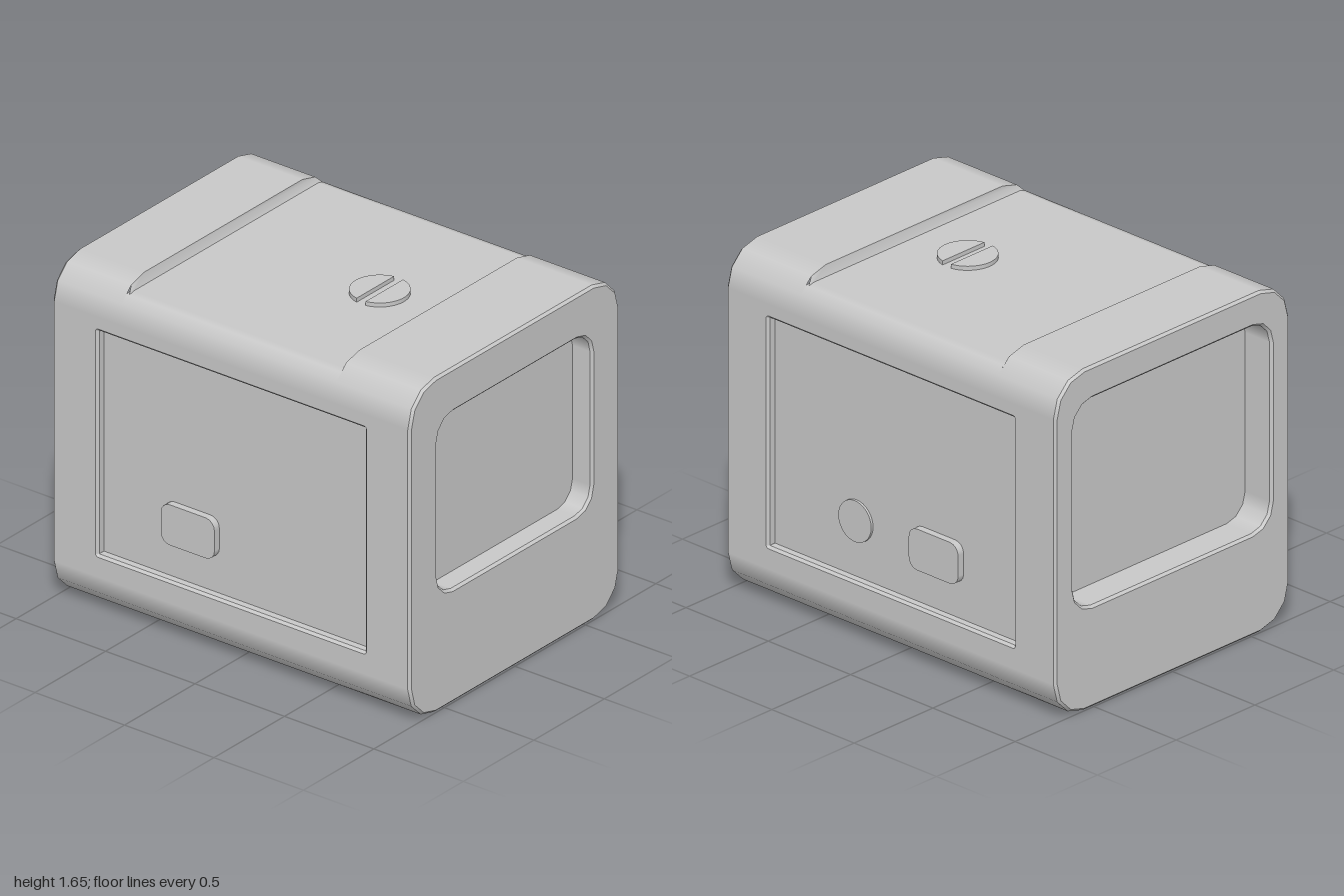
import * as THREE from 'three';

const W = 1.49, H = 1.655, R = 0.185, CY = H / 2, BEVEL = 0.012, DECK = 1.605;
const casing = new THREE.MeshStandardMaterial({ color: 0xc8c8c8 });
casing.name = 'casingGrey';

// Rounded rectangle, counter-clockwise, with an outward normal at each point
function ring(w, h, r, cx, cy, seg = 3) {
  const pts = [];
  for (let q = 0; q < 4; q++) {
    const sx = q === 0 || q === 3 ? 1 : -1, sy = q < 2 ? 1 : -1;
    for (let i = 0; i <= seg; i++) {
      const a = (q + i / seg) * Math.PI / 2, nx = Math.cos(a), ny = Math.sin(a);
      pts.push({ x: cx + sx * (w / 2 - r) + r * nx, y: cy + sy * (h / 2 - r) + r * ny, nx, ny });
    }
  }
  return pts;
}

// Wall between two outlines at depths zA < zB
function loft(A, zA, B, zB, { inward = false, closed = true } = {}) {
  const pos = [], nor = [], idx = [], n = A.length, s = inward ? -1 : 1;
  A.forEach((a, i) => {
    const b = B[i], dr = (b.x - a.x) * a.nx + (b.y - a.y) * a.ny;
    const v = new THREE.Vector3(a.nx * (zB - zA), a.ny * (zB - zA), -dr).normalize().multiplyScalar(s);
    pos.push(a.x, a.y, zA, b.x, b.y, zB);
    nor.push(v.x, v.y, v.z, v.x, v.y, v.z);
  });
  for (let i = 0; i < (closed ? n : n - 1); i++) {
    const a = 2 * i, b = 2 * ((i + 1) % n);
    if (inward) idx.push(a, b + 1, b, a, a + 1, b + 1);
    else idx.push(a, b, b + 1, a, b + 1, a + 1);
  }
  const g = new THREE.BufferGeometry();
  g.setAttribute('position', new THREE.Float32BufferAttribute(pos, 3));
  g.setAttribute('normal', new THREE.Float32BufferAttribute(nor, 3));
  g.setIndex(idx);
  return g;
}

// Flat face, optionally with a hole
function face(outline, z, hole) {
  const vec = pts => pts.map(p => new THREE.Vector2(p.x, p.y));
  const s = new THREE.Shape(vec(outline));
  if (hole) s.holes.push(new THREE.Path(vec(hole)));
  return new THREE.ShapeGeometry(s).translate(0, 0, z);
}

function add(parent, name, geometry) {
  const m = new THREE.Mesh(geometry, casing);
  m.name = name;
  parent.add(m);
  return m;
}

// Bevelled pocket sunk from the plane z; returns its rim outline
function pocket(parent, name, w, h, r, cy, z, depth, bevel) {
  const rim = ring(w, h, r, 0, cy);
  const inner = ring(w - 2 * bevel, h - 2 * bevel, Math.max(r - bevel, 0.003), 0, cy);
  add(parent, name + 'Bevel', loft(inner, z - bevel, rim, z, { inward: true }));
  add(parent, name + 'Wall', loft(inner, z - depth, inner, z - bevel, { inward: true }));
  add(parent, name + 'Floor', face(inner, z - depth));
  return rim;
}

// Raised button
function button(parent, name, w, h, r, x, y, z, height, seg) {
  const o = ring(w, h, r, x, y, seg);
  add(parent, name + 'Edge', loft(o, z, o, z + height));
  add(parent, name + 'Face', face(o, z + height));
}

// End of the casing with its window pocket
function end(name, w, h, r, cy, depth) {
  const g = new THREE.Group();
  g.name = name;
  const outer = ring(W, H, R, 0, CY);
  const inset = ring(W - 2 * BEVEL, H - 2 * BEVEL, R - BEVEL, 0, CY);
  add(g, name + 'Bevel', loft(outer, 1 - BEVEL, inset, 1));
  const rim = pocket(g, name + 'Window', w, h, r, cy, 1, depth, 0.012);
  add(g, name + 'Face', face(inset, 1, rim));
  return g;
}

// Flat side with a sunken panel
function side(name) {
  const g = new THREE.Group();
  g.name = name;
  const x = 1 - BEVEL, y0 = R, y1 = H - R;
  const rim = pocket(g, name + 'Panel', 1.515, 1.13, 0.015, 0.847, W / 2, 0.045, 0.012);
  const plate = [{ x: -x, y: y0 }, { x, y: y0 }, { x, y: y1 }, { x: -x, y: y1 }];
  add(g, name + 'Plate', face(plate, W / 2, rim));
  return g;
}

export function createModel() {
  const model = new THREE.Group();
  model.name = 'camera';

  // Rounded shell: underside, raised ends and lower deck
  const o = ring(W, H, R, 0, CY), L = 1 - BEVEL, open = { closed: false };
  const zF = 0.57, zB = -0.63;
  const under = o.slice(8), top = o.slice(0, 8);
  add(model, 'underside', loft(under, -L, under, L, open));
  add(model, 'frontTop', loft(top, zF, top, L, open));
  add(model, 'backTop', loft(top, -L, top, zB, open));
  const half = [o[0], o[1], { x: 0.686, y: 1.597, nx: 0.62, ny: 0.785 }, { x: 0.655, y: DECK, nx: 0, ny: 1 }];
  const deck = [...half, ...half.map(p => ({ ...p, x: -p.x, nx: -p.nx })).reverse()];
  add(model, 'deck', loft(deck, zB, deck, zF, open));

  // Steps from the deck to the raised ends, leaning slightly at the foot
  for (const [name, z, turn] of [['frontStep', zF, Math.PI], ['backStep', zB, 0]]) {
    const g = face([...deck.slice(2, 6).reverse(), ...o.slice(2, 6)], 0);
    const p = g.attributes.position;
    for (let i = 0; i < p.count; i++) if (p.getY(i) < 1.61) p.setZ(i, 0.015);
    g.computeVertexNormals();
    const m = add(model, name, g);
    m.position.z = z;
    m.rotation.y = turn;
  }

  // Front and back ends
  const front = end('front', 1.12, 0.9, 0.12, 1.0, 0.11);
  const back = end('back', 1.28, 1.03, 0.13, 0.995, 0.16);
  back.rotation.y = Math.PI;
  model.add(front, back);

  // Sides with their buttons
  const left = side('leftSide'), right = side('rightSide');
  left.rotation.y = Math.PI / 2;
  right.rotation.y = -Math.PI / 2;
  const floor = W / 2 - 0.045;
  button(left, 'roundButton', 0.2, 0.2, 0.1, -0.25, 0.565, floor, 0.012, 8);
  button(left, 'squareButton', 0.3, 0.2, 0.05, 0.25, 0.565, floor, 0.035, 4);
  button(right, 'squareButton', 0.3, 0.2, 0.05, -0.25, 0.565, floor, 0.035, 4);
  model.add(left, right);

  // Split round button on the deck
  const a = Math.asin(0.025 / 0.135);
  const segment = new THREE.Shape();
  segment.absarc(0, 0, 0.135, a, Math.PI - a);
  const halfDisc = new THREE.ExtrudeGeometry(segment, { depth: 0.03, bevelEnabled: false, curveSegments: 16 });
  halfDisc.rotateX(-Math.PI / 2);
  for (const [name, turn] of [['topButtonBack', 0], ['topButtonFront', Math.PI]]) {
    const m = add(model, name, halfDisc);
    m.position.set(0, DECK - 0.01, 0.245);
    m.rotation.y = turn;
  }
  return model;
}
